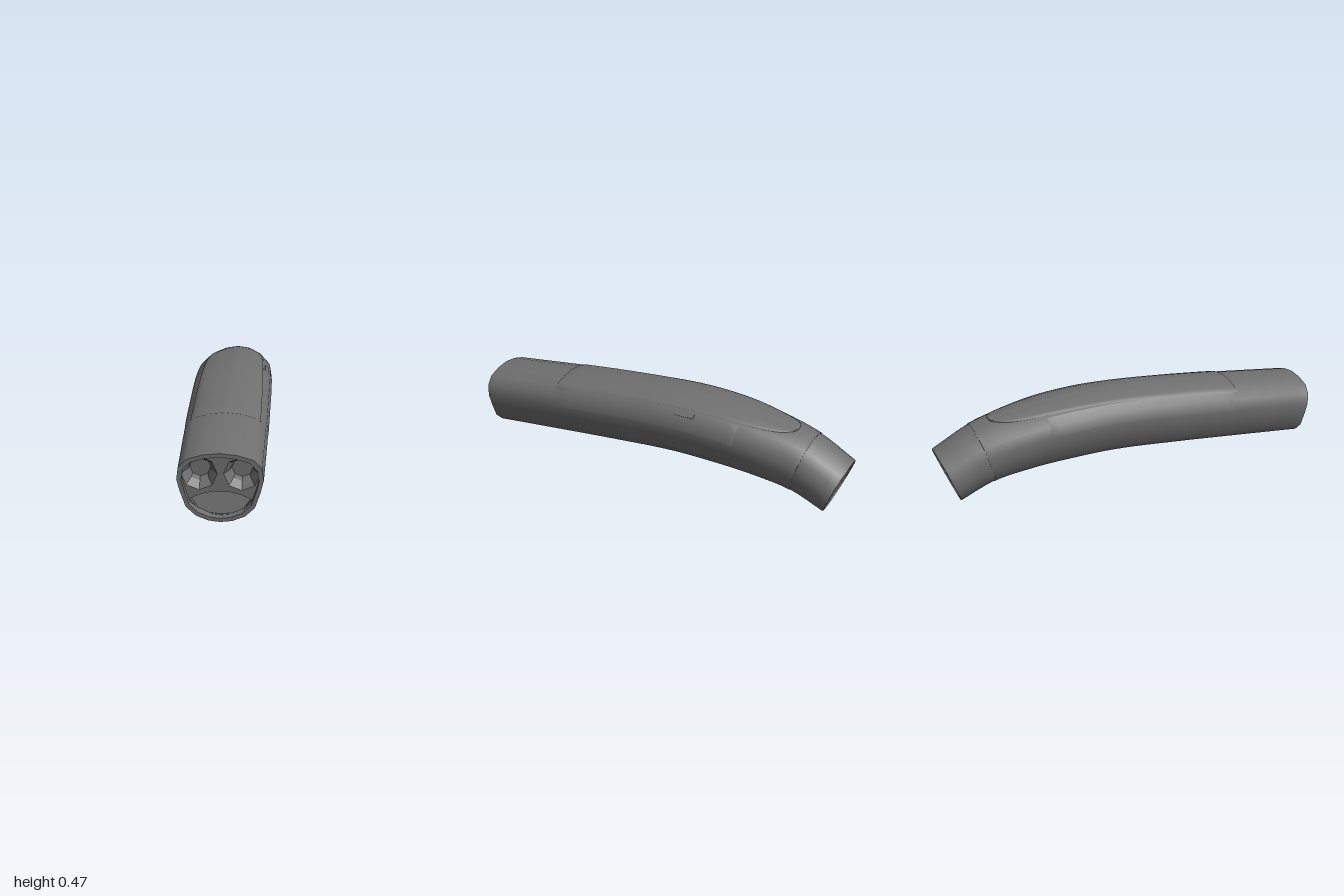
import * as THREE from 'three';

const COLOR = 0x707070;
const material = new THREE.MeshStandardMaterial({ color: COLOR, side: THREE.DoubleSide });
const flat = new THREE.MeshStandardMaterial({ color: COLOR, side: THREE.DoubleSide, flatShading: true });
const lerp = THREE.MathUtils.lerp;

// Half cross-section from bottom to top: [share of half width, share of height]
const PROFILE = [[0, 0], [0.28, 0.02], [0.57, 0.09], [0.8, 0.22], [0.93, 0.45],
  [1, 0.62], [0.96, 0.79], [0.77, 0.91], [0.4, 0.975], [0, 1]];

// Stations front to back: top z, top y, bottom z, bottom y, half width, roundness
const STATIONS = [
  [1, 0.395, 0.975, 0.068, 0.187, 0], [0.57, 0.432, 0.57, 0.098, 0.195, 0],
  [0.25, 0.455, 0.25, 0.12, 0.198, 0], [-0.1, 0.468, -0.1, 0.138, 0.2, 0],
  [-0.4, 0.452, -0.37, 0.127, 0.195, 0.1], [-0.61, 0.42, -0.55, 0.107, 0.181, 0.4],
  [-0.81, 0.368, -0.72, 0.073, 0.164, 0.7], [-1, 0.27, -0.89, -0.002, 0.155, 1]];
const LAST = STATIONS.length - 1;
const topCurve = new THREE.CatmullRomCurve3(STATIONS.map(s => new THREE.Vector3(s[4], s[1], s[0])));
const bottomCurve = new THREE.CatmullRomCurve3(STATIONS.map(s => new THREE.Vector3(s[5], s[3], s[2])));

// Profile at station s, blended towards a circle at the tail
function profileAt(s) {
  const r = THREE.MathUtils.clamp(bottomCurve.getPoint(s / LAST).x, 0, 1);
  return PROFILE.map(([x, t], j) => {
    const a = j * Math.PI / 9;
    return [lerp(x, Math.sin(a), r), lerp(t, 0.5 - 0.5 * Math.cos(a), r)];
  });
}
function pointAt(s, px, t) {
  const a = topCurve.getPoint(s / LAST), b = bottomCurve.getPoint(s / LAST);
  return new THREE.Vector3(px * a.x, lerp(b.y, a.y, t), lerp(b.z, a.z, t));
}
// Closed cross-section, optionally shrunk about its middle
function ringAt(s, scale = 1) {
  const half = profileAt(s);
  const loop = [...half, ...half.slice(1, -1).reverse().map(([x, t]) => [-x, t])];
  return loop.map(([x, t]) => pointAt(s, x * scale, 0.5 + (t - 0.5) * scale));
}

// Surface through rows of points
function loft(rows, closed) {
  const n = rows[0].length, index = [];
  for (let i = 0; i < rows.length - 1; i++) {
    for (let j = 0; j < (closed ? n : n - 1); j++) {
      const k = (j + 1) % n, a = i * n + j, b = i * n + k;
      index.push(a, a + n, b, b, a + n, b + n);
    }
  }
  const g = new THREE.BufferGeometry().setFromPoints(rows.flat());
  g.setIndex(index);
  g.computeVertexNormals();
  return g;
}

// Height share of the upper skin at a share of the half width
function upperT(s, px) {
  const p = profileAt(s);
  let j = 5;
  while (j < 8 && px < p[j + 1][0]) j++;
  return lerp(p[j][1], p[j + 1][1], (p[j][0] - px) / (p[j][0] - p[j + 1][0]));
}

// Long raised panel tapering to a rounded tip at the back
function topPanelGeometry() {
  const rows = [], N = 32, M = 14;
  for (let i = 0; i <= N; i++) {
    const v = Math.max(0, i - 1) / (N - 1), u = 1 - (1 - v) ** 2;
    const s = 1 + u * 4.57, width = topCurve.getPoint(s / LAST).x;
    const half = 0.162 * Math.pow(Math.max(0, 1 - u ** 3), 0.4);
    const row = [];
    for (let j = 0; j <= M + 2; j++) {
      const k = 1 - 2 * THREE.MathUtils.clamp(j - 1, 0, M) / M;
      const px = half * k / width;
      const p = pointAt(s, px, upperT(s, Math.abs(px)));
      p.y += i === 0 || i === N || j === 0 || j === M + 2 ? -0.006 : 0.005;
      row.push(p);
    }
    rows.push(row);
  }
  return loft(rows, false);
}

// Shallow strip along one flank, below the top panel
function sideStripGeometry(side) {
  const rows = [], N = 24;
  for (let i = 0; i <= N; i++) {
    const s = 1 + 3.4 * i / N, p = profileAt(s);
    const row = [5, 5, 6, 6.9, 6.9].map((q, j) => {
      const a = p[Math.floor(q)], b = p[Math.ceil(q)], f = q % 1;
      const v = pointAt(s, side * lerp(a[0], b[0], f), lerp(a[1], b[1], f));
      v.x += side * (i === 0 || i === N || j === 0 || j === 4 ? -0.003 : 0.002);
      return v;
    });
    rows.push(side > 0 ? row : row.reverse());
  }
  return loft(rows, false);
}

// Front outline in the plane of the face, scaled about its middle
const FACE_H = 0.328;
function faceOutline(scale) {
  const half = PROFILE.map(([x, t]) =>
    new THREE.Vector2(x * 0.187 * scale, FACE_H * (0.5 + (t - 0.5) * scale)));
  return [...half, ...half.slice(1, -1).reverse().map(p => new THREE.Vector2(-p.x, p.y))];
}

function createFace(add) {
  const face = new THREE.Group();
  face.name = 'frontFace';
  face.position.set(0, 0.068, 0.975);
  face.rotation.x = Math.atan2(0.025, 0.327);

  // Rim around the face
  const rim = new THREE.Shape(faceOutline(1));
  rim.holes.push(new THREE.Path(faceOutline(0.89)));
  add(face, 'faceRim', new THREE.ExtrudeGeometry(rim, { depth: 0.03, bevelEnabled: false }), flat)
    .position.z = -0.03;

  // Recessed plate with two sockets and a lower opening
  const lowerHalf = [[0, 0.02], [0.05, 0.025], [0.1, 0.046], [0.135, 0.096], [0.09, 0.118], [0.04, 0.131], [0, 0.134]];
  const lower = [...lowerHalf, ...lowerHalf.slice(1, -1).reverse().map(([x, y]) => [-x, y])]
    .map(([x, y]) => new THREE.Vector2(x, y));
  const plate = new THREE.Shape(faceOutline(0.97));
  plate.holes.push(new THREE.Path(lower));
  for (const side of [-1, 1]) {
    const hole = [];
    for (let i = 0; i < 8; i++) {
      const a = i * Math.PI / 4;
      hole.push(new THREE.Vector2(side * 0.092 + 0.079 * Math.cos(a), 0.219 + 0.079 * Math.sin(a)));
    }
    plate.holes.push(new THREE.Path(hole));

    // Octagonal socket: wide funnel, narrow well, flat floor
    for (const [name, front, back, depth, z] of [
      ['socketFunnel', 0.079, 0.053, 0.04, -0.05], ['socketWell', 0.053, 0.046, 0.03, -0.085]]) {
      const wall = new THREE.CylinderGeometry(front, back, depth, 8, 1, true).rotateX(Math.PI / 2);
      add(face, name, wall, flat).position.set(side * 0.092, 0.219, z);
    }
    add(face, 'socketFloor', new THREE.CircleGeometry(0.047, 8), flat)
      .position.set(side * 0.092, 0.219, -0.099);
  }
  add(face, 'facePlate', new THREE.ExtrudeGeometry(plate, { depth: 0.015, bevelEnabled: false }), flat)
    .position.z = -0.045;

  // Sloping floor of the lower opening
  const slope = new THREE.ShapeGeometry(new THREE.Shape(lower));
  const pos = slope.attributes.position;
  for (let i = 0; i < pos.count; i++) pos.setZ(i, -0.038 - 0.25 * (pos.getY(i) - 0.02));
  slope.computeVertexNormals();
  add(face, 'lowerRecess', slope, flat);
  return face;
}

export function createModel() {
  const model = new THREE.Group();
  model.name = 'curvedHandle';
  const add = (parent, name, geometry, mat = material) => {
    const mesh = new THREE.Mesh(geometry, mat);
    mesh.name = name;
    parent.add(mesh);
    return mesh;
  };

  // Main curved grip, stepping in at the neck seam
  const grip = [];
  for (let i = 0; i <= 36; i++) grip.push(ringAt(i / 6));
  add(model, 'grip', loft(grip, true));
  add(model, 'neckStep', loft([ringAt(6), ringAt(6, 0.95)], true));

  // Tail collar, with a bevelled edge and a sunken end
  const tail = [0, 0.25, 0.5, 0.75, 0.97].map(u => ringAt(5.98 + 1.02 * u, 0.985));
  add(model, 'tailCollar', loft(tail, true));
  add(model, 'tailEdge', loft([tail[4], ringAt(7, 0.975), ringAt(7, 0.9), ringAt(6.97, 0.89)], true), flat);
  add(model, 'tailEnd', loft([ringAt(6.97, 0.89), ringAt(6.97, 0.001)], true), flat);

  // Panels
  add(model, 'topPanel', topPanelGeometry());
  add(model, 'leftStrip', sideStripGeometry(1));
  add(model, 'rightStrip', sideStripGeometry(-1));

  // Small slide button on the left shoulder
  const button = add(model, 'slideButton', new THREE.BoxGeometry(0.022, 0.012, 0.1), flat);
  button.position.set(0.171, 0.415, -0.19);
  button.rotation.z = -Math.PI / 4;

  model.add(createFace(add));
  return model;
}
